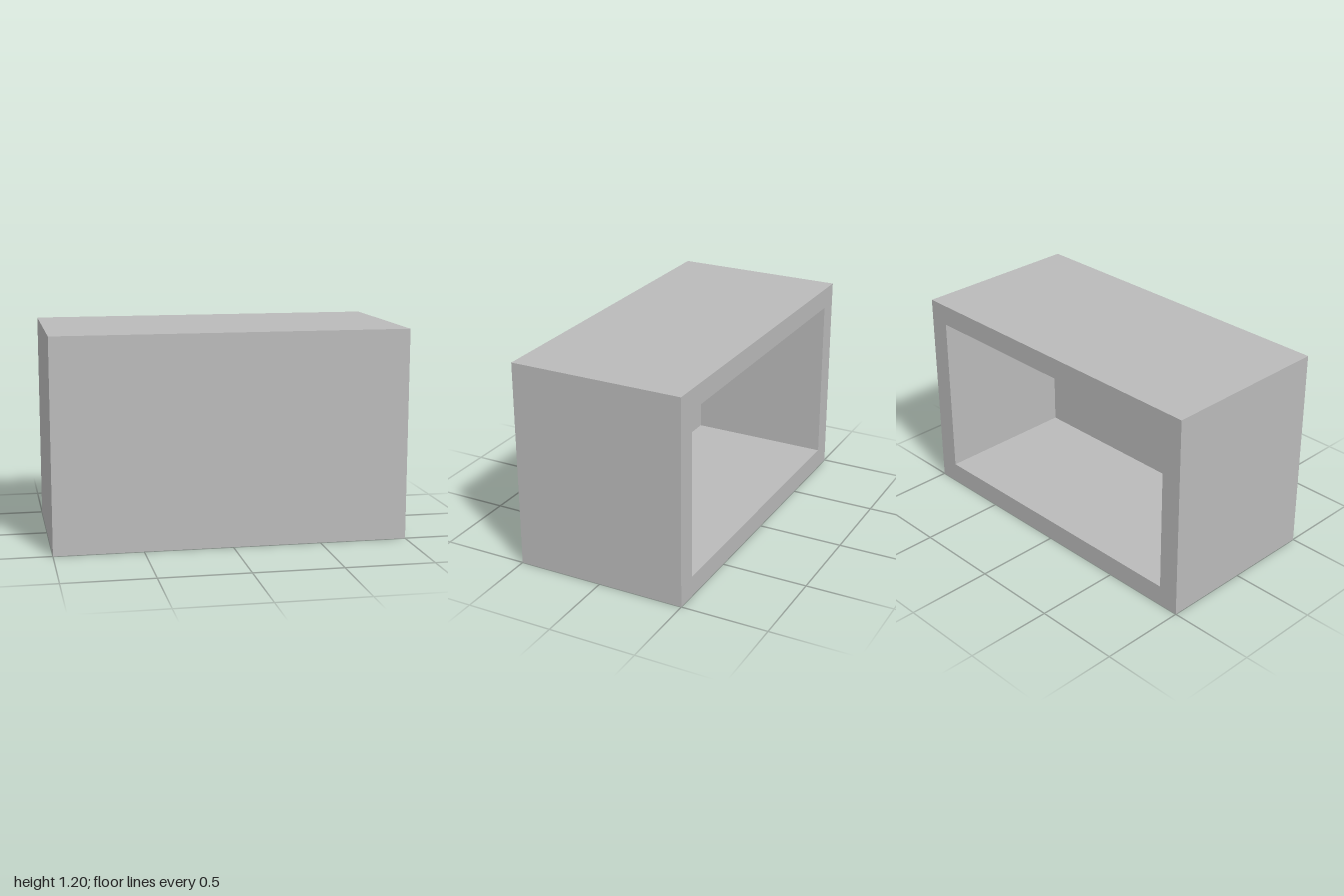
import * as THREE from 'three';

const W = 2, H = 1.2, D = 1;   // outer size
const WALL = 0.12;             // side, top and bottom walls
const FRONT = 0.16;            // closed front wall
const BAR = 0.08;              // square bar under the ceiling

const grey = new THREE.MeshStandardMaterial({ color: 0xbababa });
grey.name = 'grey shell';
const tan = new THREE.MeshStandardMaterial({ color: 0xc1b597 });
tan.name = 'tan bar';

function addMesh(group, name, geometry, material, x, y, z) {
  const mesh = new THREE.Mesh(geometry, material);
  mesh.name = name;
  mesh.position.set(x, y, z);
  group.add(mesh);
}

// Counter-clockwise rectangle around the centre of the box
function rectangle(Type, w, h) {
  return new Type([
    new THREE.Vector2(-w / 2, -h / 2),
    new THREE.Vector2(w / 2, -h / 2),
    new THREE.Vector2(w / 2, h / 2),
    new THREE.Vector2(-w / 2, h / 2),
  ]);
}

export function createModel() {
  const model = new THREE.Group();
  model.name = 'openBackedBox';

  // Four walls as one rectangular tube, open at the back
  const outline = rectangle(THREE.Shape, W, H);
  outline.holes.push(rectangle(THREE.Path, W - 2 * WALL, H - 2 * WALL));
  const tube = new THREE.ExtrudeGeometry(outline, { depth: D - FRONT, bevelEnabled: false });
  addMesh(model, 'walls', tube, grey, 0, H / 2, -D / 2);

  // Solid front wall
  addMesh(model, 'frontWall', new THREE.BoxGeometry(W, H, FRONT), grey, 0, H / 2, D / 2 - FRONT / 2);

  // Bar fixed to the ceiling, running from wall to wall
  addMesh(model, 'ceilingBar', new THREE.BoxGeometry(W - 2 * WALL, BAR, BAR), tan,
    0, H - WALL - BAR / 2, 0.02);

  return model;
}
